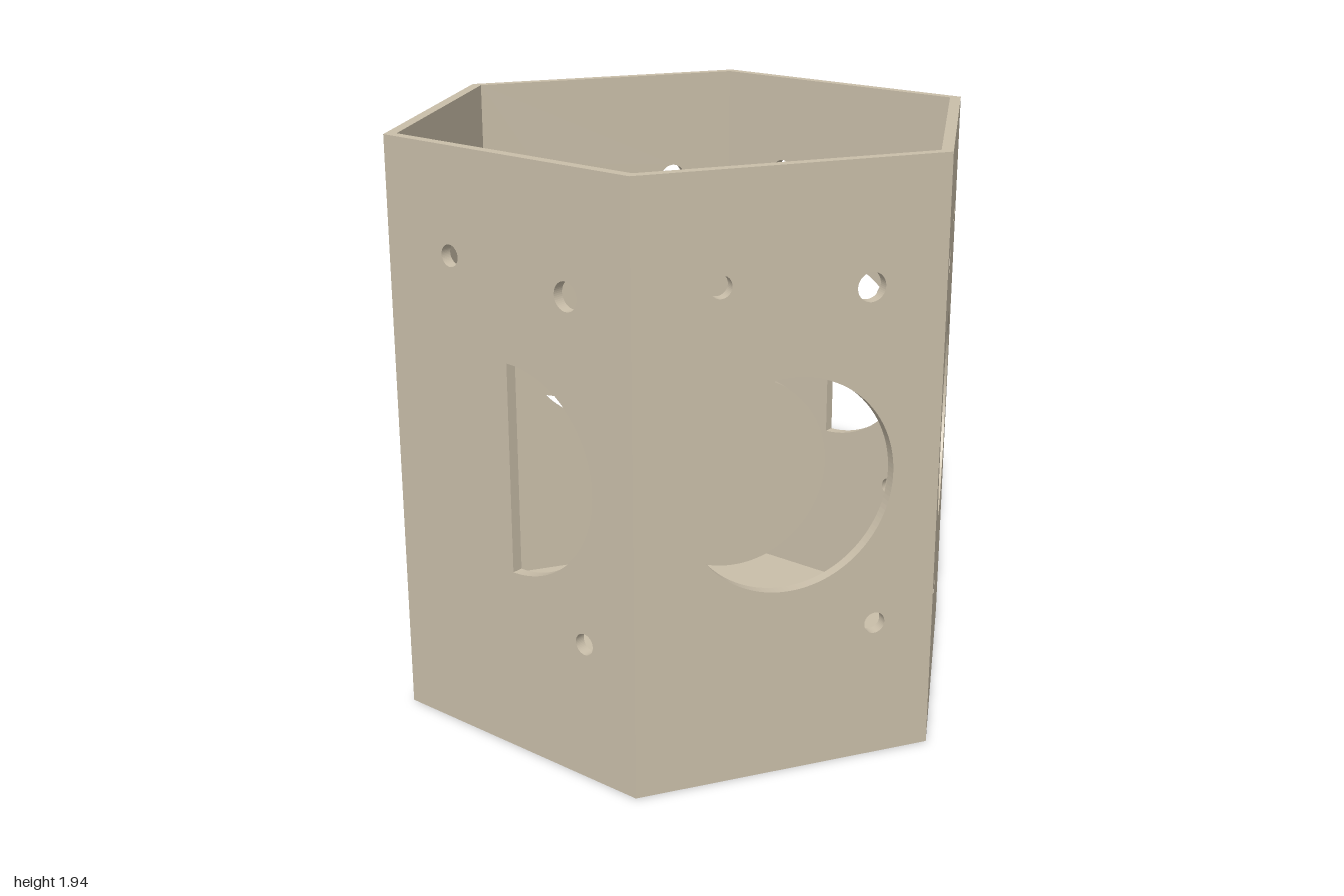
import * as THREE from 'three';

const HEIGHT = 1.94, WALL = 0.036, FLOOR = 0.03;
const APOTHEM = Math.sqrt(3) / 2;      // hexagon with side length 1
const MID_Y = 0.96, MOON_R = 0.343;    // moon cut-out
const BITE = { x: -0.183, y: 1.03, r: 0.295 };

// Moon phase outlines, as seen from outside the wall
const phases = {
  full: () => new THREE.Path().absarc(0, MID_Y, MOON_R, 0, Math.PI * 2),
  half: () => new THREE.Path().absarc(0, MID_Y, MOON_R, -Math.PI / 2, Math.PI / 2),
  crescent: () => {
    const dx = BITE.x, dy = BITE.y - MID_Y, d = Math.hypot(dx, dy);
    const a = (MOON_R ** 2 - BITE.r ** 2 + d * d) / (2 * d);
    const phi = Math.atan2(dy, dx);
    const alpha = Math.acos(a / MOON_R), beta = Math.acos((a - d) / BITE.r);
    return new THREE.Path()
      .absarc(0, MID_Y, MOON_R, phi + alpha, phi - alpha + Math.PI * 2, false)
      .absarc(BITE.x, BITE.y, BITE.r, phi - beta, phi + beta, true);
  },
};

// Small round holes: x, y, radius
const pinHoles = [[-0.228, 1.6, 0.035], [0.25, 1.555, 0.046], [0.297, 0.46, 0.035]];

// One wall with its cut-outs; side = -1 mirrors them
function wallGeometry(phase, side) {
  const shape = new THREE.Shape();
  shape.moveTo(-0.5, 0).lineTo(0.5, 0).lineTo(0.5, HEIGHT).lineTo(-0.5, HEIGHT).closePath();
  const addHole = (path, segments) => shape.holes.push(new THREE.Path(
    path.getPoints(segments).map((p) => new THREE.Vector2(p.x * side, p.y))));
  addHole(phases[phase](), 48);
  for (const [x, y, r] of pinHoles) addHole(new THREE.Path().absarc(x, y, r, 0, Math.PI * 2), 24);

  const geo = new THREE.ExtrudeGeometry(shape, { depth: WALL, bevelEnabled: false });
  geo.translate(0, 0, -WALL);
  // Mitre the two ends so neighbouring walls meet at the corner
  const pos = geo.attributes.position;
  for (let i = 0; i < pos.count; i++) {
    const x = pos.getX(i);
    if (Math.abs(x) > 0.499 && pos.getZ(i) < -WALL / 2) {
      pos.setX(i, x - Math.sign(x) * WALL / Math.sqrt(3));
    }
  }
  geo.computeVertexNormals();
  geo.translate(0, 0, APOTHEM);
  return geo;
}

export function createModel() {
  const group = new THREE.Group();
  group.name = 'hexagonalLantern';
  const clay = new THREE.MeshStandardMaterial({ color: 0xc9bea9 });
  clay.name = 'beige';

  // Six walls: name, direction in degrees from the front, phase, mirroring
  const walls = [
    ['frontLeftWall', 30, 'crescent', 1],
    ['leftWall', 90, 'full', -1],
    ['backLeftWall', 150, 'half', -1],
    ['backRightWall', 210, 'crescent', -1],
    ['rightWall', 270, 'full', 1],
    ['frontRightWall', 330, 'half', 1],
  ];
  for (const [name, degrees, phase, side] of walls) {
    const wall = new THREE.Mesh(wallGeometry(phase, side), clay);
    wall.name = name;
    wall.rotation.y = THREE.MathUtils.degToRad(degrees);
    group.add(wall);
  }

  // Floor fitted between the walls
  const innerR = 1 - WALL / APOTHEM;
  const floorGeo = new THREE.CylinderGeometry(innerR, innerR, FLOOR, 6).toNonIndexed();
  floorGeo.computeVertexNormals();
  const floor = new THREE.Mesh(floorGeo, clay);
  floor.name = 'floor';
  floor.position.y = FLOOR / 2;
  group.add(floor);

  return group;
}
